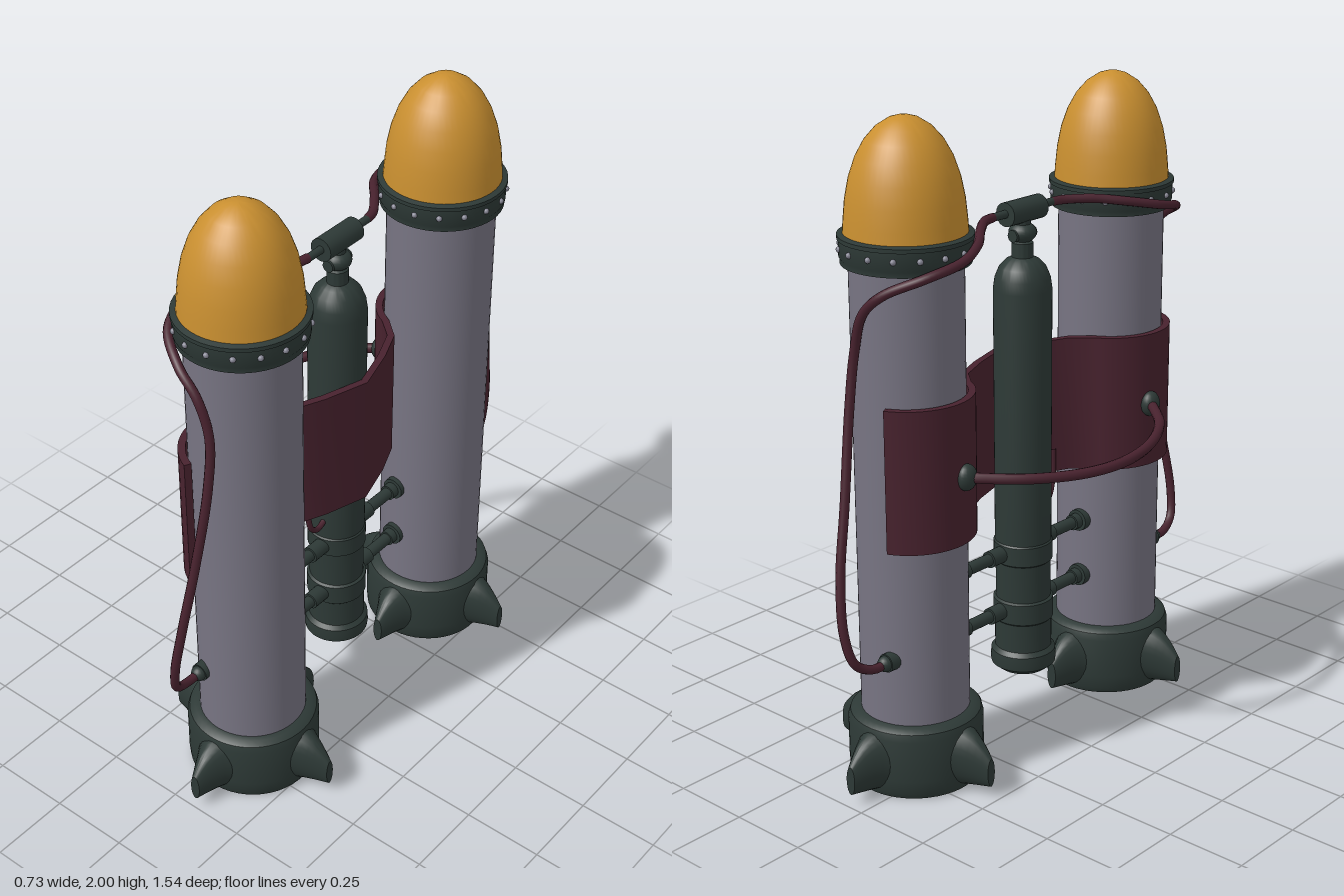
import * as THREE from 'three';
import { toCreasedNormals } from 'three/addons/utils/BufferGeometryUtils.js';

const TX = 0.067, TZ = 0.45, CX = 0.034; // tube axis and canister axis

const material = (name, color) => {
  const m = new THREE.MeshStandardMaterial({ color });
  m.name = name;
  return m;
};
const V = (x, y, z) => new THREE.Vector3(x, y, z);

export function createModel() {
  const gold = material('gold', 0xc98f30);
  const steel = material('grey steel', 0x777482);
  const dark = material('dark metal', 0x2d3936);
  const red = material('dark red', 0x48222e);
  const bolt = material('bolt grey', 0x858593);

  const model = new THREE.Group();
  model.name = 'twinTubePack';
  model.position.z = 0.003;

  const add = (parent, name, geometry, mat, x = 0, y = 0, z = 0) => {
    const mesh = new THREE.Mesh(geometry, mat);
    mesh.name = name;
    mesh.position.set(x, y, z);
    parent.add(mesh);
    return mesh;
  };
  const lathe = (pts, segs = 48) =>
    toCreasedNormals(new THREE.LatheGeometry(pts.map(p => new THREE.Vector2(...p)), segs), 0.6);
  const hose = (parent, name, pts, radius, mat = red) =>
    add(parent, name, new THREE.TubeGeometry(
      new THREE.CatmullRomCurve3(pts.map(p => V(...p)), false, 'centripetal'), pts.length * 8, radius, 10), mat);
  // cylinder lying along z between two z values
  const rod = (parent, name, r, x, y, z0, z1, mat = dark) =>
    add(parent, name, new THREE.CylinderGeometry(r, r, Math.abs(z1 - z0), 20).rotateX(Math.PI / 2),
      mat, x, y, (z0 + z1) / 2);

  // tapering rounded fin pointing along +x
  const finGeometry = () => {
    const g = new THREE.CylinderGeometry(1, 1, 1, 24, 6);
    const p = g.attributes.position;
    for (let i = 0; i < p.count; i++) {
      const t = p.getY(i) + 0.5;
      const half = THREE.MathUtils.lerp(0.085, 0.016, Math.pow(t, 0.75));
      const top = THREE.MathUtils.lerp(0.205, 0.125, t * t);
      const low = THREE.MathUtils.lerp(0.012, 0.035, t);
      p.setXYZ(i, 0.17 + 0.122 * t, (top + low) / 2 - p.getX(i) * (top - low) / 2, p.getZ(i) * half);
    }
    const out = toCreasedNormals(g, 0.7);
    return out;
  };

  // main tubes
  for (const s of [1, -1]) {
    const tube = new THREE.Group();
    tube.name = s > 0 ? 'frontTube' : 'backTube';
    tube.position.set(TX, 0, TZ * s);
    model.add(tube);

    add(tube, 'tubeBody', new THREE.CylinderGeometry(0.163, 0.163, 1.42, 48, 1, true), steel, 0, 0.91, 0);
    add(tube, 'noseCap', lathe([[0.176, 1.67], [0.173, 1.71], [0.167, 1.77], [0.155, 1.83], [0.136, 1.885],
      [0.11, 1.932], [0.078, 1.968], [0.042, 1.991], [0.018, 1.998], [0, 2]]), gold);
    add(tube, 'collar', lathe([[0.16, 1.59], [0.185, 1.59], [0.185, 1.605], [0.188, 1.61], [0.188, 1.66],
      [0.192, 1.66], [0.192, 1.672], [0.17, 1.678]]), dark);
    for (let i = 0; i < 16; i++) {
      const a = (i + 0.5) / 16 * Math.PI * 2;
      add(tube, 'collarBolt', new THREE.SphereGeometry(0.009, 10, 8), bolt,
        Math.cos(a) * 0.188, 1.635, Math.sin(a) * 0.188);
    }

    // hollow foot with four fins
    const foot = new THREE.Group();
    foot.name = 'foot';
    foot.rotation.y = 0.05;
    tube.add(foot);
    add(foot, 'footRing', lathe([[0, 0.08], [0.16, 0.08], [0.165, 0], [0.19, 0], [0.2, 0.02],
      [0.203, 0.06], [0.203, 0.19], [0.196, 0.212], [0.18, 0.224], [0.16, 0.226]]), dark);
    for (let i = 0; i < 4; i++) add(foot, 'footFin', finGeometry(), dark).rotation.y = i * Math.PI / 2;

    // hose from the valve, round the tube and down its outer side
    hose(model, 'feedHose', [[CX, 1.657, 0.13], [0.025, 1.657, 0.17], [-0.03, 1.655, 0.25], [-0.1, 1.64, 0.34],
      [-0.136, 1.618, 0.44], [-0.105, 1.59, 0.555], [-0.01, 1.54, 0.622], [0.06, 1.475, 0.632],
      [0.098, 1.36, 0.63], [0.104, 1.2, 0.65], [0.085, 0.93, 0.698], [0.066, 0.72, 0.742],
      [0.042, 0.555, 0.757], [0.024, 0.465, 0.735], [0.012, 0.433, 0.68], [0.012, 0.432, 0.61]]
      .map(([x, y, z]) => [x, y, z * s]), 0.014);
    rod(model, 'hoseSocket', 0.028, 0.012, 0.432, 0.59 * s, 0.625 * s);
    add(model, 'hoseSocketCap', new THREE.SphereGeometry(0.024, 16, 12), dark, 0.012, 0.432, 0.627 * s);
    rod(model, 'valveNozzle', 0.012, CX, 1.657, 0.07 * s, 0.14 * s);

    // fitting where the rear hose meets the wrap
    const fitting = add(model, 'rearHoseFitting', new THREE.SphereGeometry(0.04, 20, 14), dark,
      -0.125, 0.985, 0.42 * s);
    fitting.scale.set(0.7, 1, 0.85);

    // two struts from canister to tube
    for (const y of [0.4, 0.59]) {
      rod(model, 'strut', 0.019, 0.045, y, 0.05 * s, 0.31 * s);
      rod(model, 'strutSleeve', 0.026, 0.045, y, 0.08 * s, 0.145 * s);
      rod(model, 'strutCollar', 0.025, 0.045, y, 0.245 * s, 0.27 * s);
      rod(model, 'strutFlange', 0.035, 0.045, y, 0.272 * s, 0.3 * s);
    }
  }

  // rear hose bowing out between the tubes
  hose(model, 'rearHose', [[-0.125, 0.985, 0.42], [-0.165, 0.983, 0.39], [-0.255, 0.978, 0.3],
    [-0.33, 0.97, 0.15], [-0.353, 0.967, 0], [-0.33, 0.97, -0.15], [-0.255, 0.978, -0.3],
    [-0.165, 0.983, -0.39], [-0.125, 0.985, -0.42]], 0.016);

  // sheet wrapping both tubes and passing in front of the canister
  const half = [];
  for (let a = 112; a <= 245; a += 7) {
    const r = a * Math.PI / 180;
    half.push(V(TX + 0.179 * Math.cos(r), TZ + 0.179 * Math.sin(r), 0));
  }
  half.push(V(0.052, 0.235, 0), V(0.095, 0.135, 0));
  const line = [...half, V(0.136, 0, 0), ...half.map(p => V(p.x, -p.y, 0)).reverse()];
  const edge = d => line.map((p, i) => {
    const t = line[Math.min(i + 1, line.length - 1)].clone().sub(line[Math.max(i - 1, 0)]).normalize();
    return new THREE.Vector2(p.x - t.y * d, p.y + t.x * d);
  });
  const wrap = new THREE.ExtrudeGeometry(new THREE.Shape([...edge(0.011), ...edge(-0.011).reverse()]),
    { depth: 0.43, bevelEnabled: false });
  add(model, 'wrapPanel', toCreasedNormals(wrap.rotateX(Math.PI / 2), 0.6), red, 0, 1.21, 0);

  // central canister
  add(model, 'canister', lathe([[0, 0.18], [0.055, 0.18], [0.075, 0.19], [0.1, 0.21], [0.102, 0.225],
    [0.1, 0.255], [0.088, 0.268], [0.088, 0.36], [0.093, 0.365], [0.093, 0.43], [0.085, 0.435], [0.085, 0.555],
    [0.091, 0.56], [0.091, 0.62], [0.087, 0.625], [0.088, 1.42], [0.083, 1.455], [0.07, 1.487],
    [0.05, 1.508], [0.032, 1.517], [0.032, 1.56], [0.024, 1.565], [0.024, 1.63]]), dark, CX);
  add(model, 'valveKnob', new THREE.SphereGeometry(0.042, 20, 14), dark, CX, 1.59, 0).scale.y = 0.75;
  rod(model, 'valveStem', 0.018, CX, 1.585, -0.045, 0.045);
  rod(model, 'valveTee', 0.036, CX, 1.655, -0.075, 0.075);

  // small looped hose below the sheet
  hose(model, 'loopHose', [[0.06, 0.86, 0.17], [0.06, 0.77, 0.17], [0.06, 0.71, 0.155],
    [0.055, 0.683, 0.12], [0.05, 0.685, 0.09], [0.045, 0.7, 0.06]], 0.009);

  return model;
}
